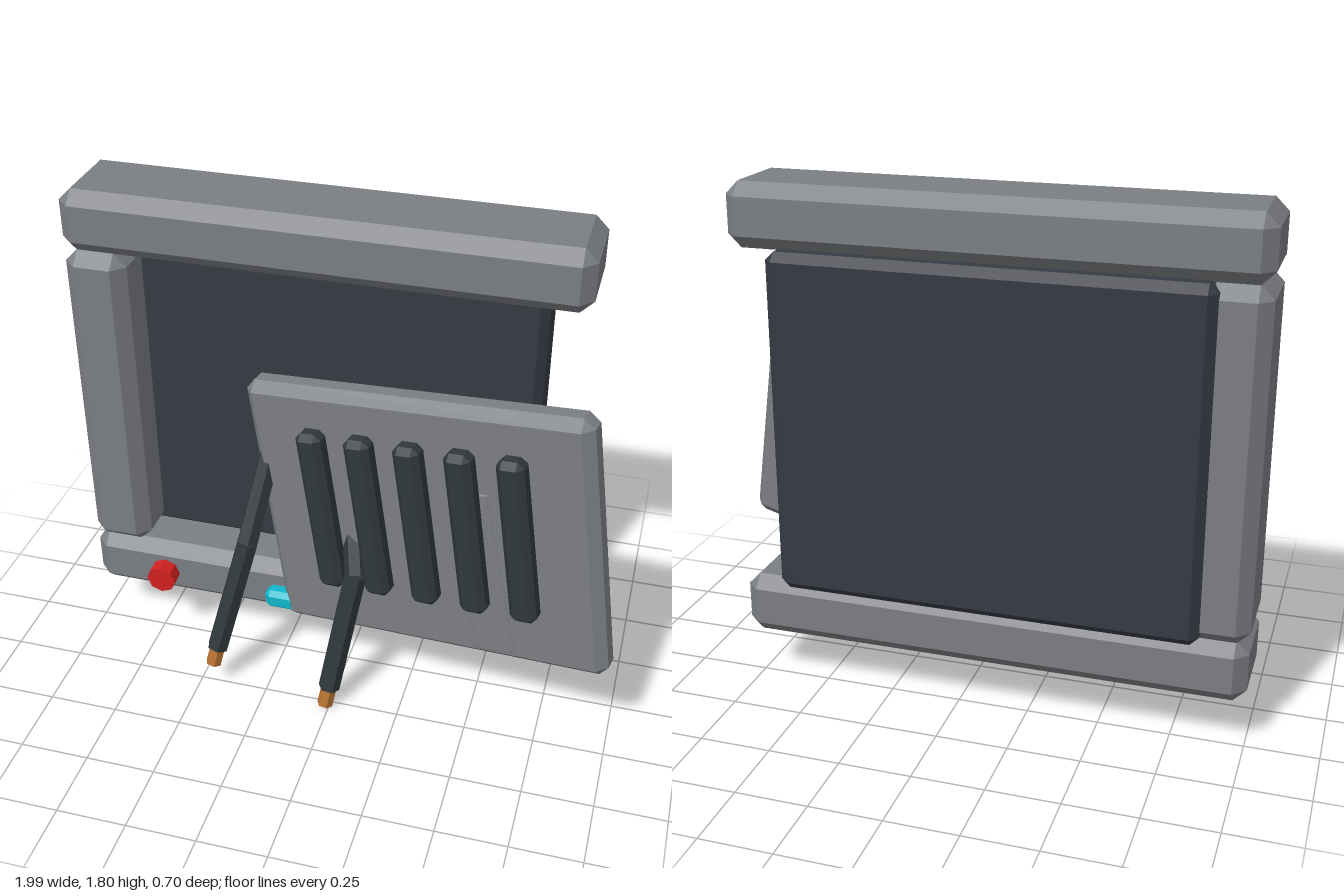
import * as THREE from 'three';
import { ConvexGeometry } from 'three/addons/geometries/ConvexGeometry.js';

const material = (name, color) => {
  const m = new THREE.MeshStandardMaterial({ color, flatShading: true });
  m.name = name;
  return m;
};

// Box with every edge and corner cut off by c
function chamferBox(w, h, d, c) {
  const points = [];
  const [x, y, z] = [w / 2, h / 2, d / 2];
  for (const sx of [-1, 1]) for (const sy of [-1, 1]) for (const sz of [-1, 1]) {
    points.push(
      new THREE.Vector3(sx * x, sy * (y - c), sz * (z - c)),
      new THREE.Vector3(sx * (x - c), sy * y, sz * (z - c)),
      new THREE.Vector3(sx * (x - c), sy * (y - c), sz * z));
  }
  return new ConvexGeometry(points);
}

export function createModel() {
  const model = new THREE.Group();
  model.name = 'brokenWallPanel';

  const frameGrey = material('frame grey', 0x7b7e83);
  const backDark = material('backing dark', 0x363a43);
  const slatDark = material('slat dark', 0x30383c);
  const buttonRed = material('button red', 0xd42020);
  const lightCyan = material('light cyan', 0x10b8cc);
  const copper = material('copper', 0xb87333);

  function add(parent, name, geometry, mat, x, y, z) {
    const mesh = new THREE.Mesh(geometry, mat);
    mesh.name = name;
    mesh.position.set(x, y, z);
    parent.add(mesh);
    return mesh;
  }

  // Straight six-sided rod between two points
  function rod(parent, name, a, b, radius, mat) {
    const dir = b.clone().sub(a);
    const mid = a.clone().add(b).multiplyScalar(0.5);
    const mesh = add(parent, name, new THREE.CylinderGeometry(radius, radius, dir.length(), 6), mat, mid.x, mid.y, mid.z);
    mesh.quaternion.setFromUnitVectors(new THREE.Vector3(0, 1, 0), dir.normalize());
  }

  // Housing: backing box and its frame
  add(model, 'backing', chamferBox(1.47, 1.2, 0.2, 0.03), backDark, -0.105, 0.985, -0.25);
  add(model, 'topBar', chamferBox(1.78, 0.22, 0.34, 0.045), frameGrey, -0.11, 1.69, -0.15);
  add(model, 'bottomBar', chamferBox(1.78, 0.22, 0.34, 0.045), frameGrey, -0.11, 0.29, -0.15);
  add(model, 'rightPost', chamferBox(0.22, 1.19, 0.34, 0.045), frameGrey, -0.89, 0.985, -0.15);

  // Loose post, knocked askew
  const loosePost = add(model, 'loosePost', chamferBox(0.22, 0.71, 0.3, 0.042), frameGrey, 0.555, 0.705, 0.1);
  loosePost.rotation.set(0, -0.2, 0.22);

  // Loose cover with five raised slats
  const cover = new THREE.Group();
  cover.name = 'looseCover';
  cover.position.set(0.32, 0.807, 0.14);
  cover.rotation.set(0, -0.2, 0.15);
  model.add(cover);
  add(cover, 'coverPlate', chamferBox(1.235, 0.985, 0.12, 0.035), frameGrey, 0, 0, 0);
  for (let i = -2; i <= 2; i++) {
    add(cover, 'slat', chamferBox(0.095, 0.62, 0.08, 0.022), slatDark, i * 0.18, 0.043, 0.085);
  }

  // Button and status light on the bottom bar
  const button = add(model, 'button', new THREE.CylinderGeometry(0.055, 0.055, 0.055, 8), buttonRed, -0.71, 0.295, 0.06);
  button.rotation.x = Math.PI / 2;
  add(model, 'statusLight', chamferBox(0.38, 0.075, 0.07, 0.018), lightCyan, -0.11, 0.288, 0.055);

  // Torn wires: top, bend, end of sleeve, end of bare core
  const wires = [
    [[-0.26, 1.0, 0.0], [-0.325, 0.61, 0.17], [-0.43, 0.17, 0.255], [-0.445, 0.1, 0.268]],
    [[0.015, 0.85, 0.02], [0.075, 0.56, 0.18], [-0.003, 0.08, 0.26], [-0.016, 0.005, 0.272]],
  ];
  for (const path of wires) {
    const [top, bend, end, tip] = path.map((p) => new THREE.Vector3(...p));
    const wire = new THREE.Group();
    wire.name = 'wire';
    model.add(wire);
    rod(wire, 'upperSleeve', top, bend, 0.039, slatDark);
    rod(wire, 'lowerSleeve', bend, end, 0.039, slatDark);
    rod(wire, 'bareCore', end, tip, 0.029, copper);
  }

  return model;
}
